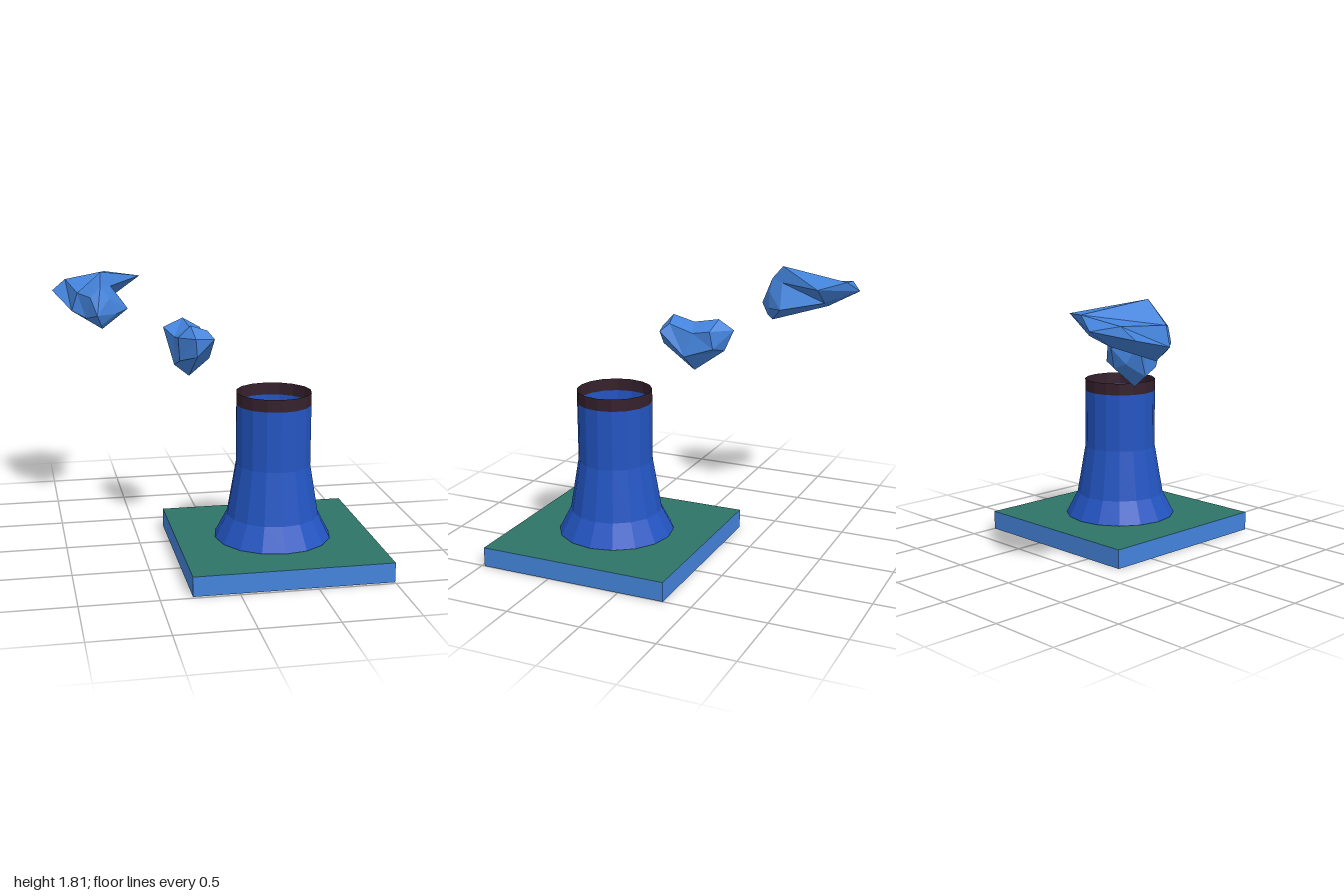
import * as THREE from 'three';

const paint = (color, side = THREE.FrontSide) =>
  new THREE.MeshStandardMaterial({ color, flatShading: true, side });

function add(parent, name, geometry, material, x = 0, y = 0, z = 0) {
  const mesh = new THREE.Mesh(geometry, material);
  mesh.name = name;
  mesh.position.set(x, y, z);
  parent.add(mesh);
  return mesh;
}

// Faceted rock: six-point rings (top, clockwise seen from the front) from back tip to front tip.
function rockGeometry(backTip, rings, frontTip) {
  const n = 6, out = [];
  const tri = (a, b, c) => out.push(...a, ...b, ...c);
  const last = rings[rings.length - 1];
  for (let j = 0; j < n; j++) {
    const k = (j + 1) % n;
    tri(backTip, rings[0][j], rings[0][k]);
    for (let i = 0; i < rings.length - 1; i++) {
      const a = rings[i], b = rings[i + 1];
      tri(a[j], b[j], a[k]);
      tri(a[k], b[j], b[k]);
    }
    tri(last[j], frontTip, last[k]);
  }
  const geometry = new THREE.BufferGeometry();
  geometry.setAttribute('position', new THREE.Float32BufferAttribute(out, 3));
  geometry.computeVertexNormals();
  return geometry;
}

export function createModel() {
  const model = new THREE.Group();
  model.name = 'coolingTower';

  const lightBlue = paint(0x4484dc);
  const green = paint(0x2f7468);
  const blue = paint(0x2355c2, THREE.DoubleSide);
  const dark = paint(0x35202c, THREE.DoubleSide);

  // Square slab with a green upper face
  add(model, 'base', new THREE.BoxGeometry(1.295, 0.13, 1.29),
    [lightBlue, lightBlue, green, lightBlue, lightBlue, lightBlue], 0.3525, 0.065, 0.335);

  // Open, flared tower with a floor and a dark rim
  const tower = new THREE.Group();
  tower.name = 'tower';
  tower.position.set(0.35, 0, 0.335);
  model.add(tower);
  const lathe = (points) =>
    new THREE.LatheGeometry(points.map(([r, y]) => new THREE.Vector2(r, y)), 16);
  add(tower, 'towerWall',
    lathe([[0.387, 0.135], [0.307, 0.29], [0.248, 0.635], [0.248, 1.035]]), blue);
  add(tower, 'towerRim', lathe([[0.248, 1.035], [0.248, 1.117]]), dark);
  add(tower, 'towerFloor', new THREE.CircleGeometry(0.387, 16).rotateX(-Math.PI / 2), blue, 0, 0.135, 0);

  // Small smoke puff, two lobes with a dip between them
  add(model, 'smallPuff', rockGeometry([-0.2, 1.45, -0.285], [
    [[-0.165, 1.525, -0.19], [-0.05, 1.46, -0.17], [-0.06, 1.34, -0.19],
      [-0.17, 1.31, -0.23], [-0.25, 1.34, -0.2], [-0.305, 1.475, -0.14]],
    [[-0.15, 1.495, -0.02], [-0.045, 1.44, -0.05], [-0.015, 1.28, 0],
      [-0.15, 1.16, -0.02], [-0.25, 1.24, -0.02], [-0.25, 1.43, -0.015]],
    [[-0.165, 1.53, 0.14], [-0.05, 1.49, 0.12], [-0.01, 1.44, 0.175],
      [-0.13, 1.33, 0.2], [-0.23, 1.29, 0.1], [-0.245, 1.45, 0.13]],
  ], [-0.14, 1.45, 0.21]), lightBlue);

  // Large smoke puff, broad at the back and narrowing to the front
  add(model, 'largePuff', rockGeometry([-0.75, 1.67, -0.985], [
    [[-0.62, 1.75, -0.93], [-0.38, 1.73, -0.8], [-0.55, 1.61, -0.8],
      [-0.7, 1.56, -0.78], [-1, 1.63, -0.865], [-0.905, 1.705, -0.89]],
    [[-0.69, 1.812, -0.45], [-0.62, 1.71, -0.47], [-0.5, 1.545, -0.5],
      [-0.69, 1.43, -0.38], [-0.89, 1.545, -0.47], [-0.85, 1.67, -0.46]],
    [[-0.7, 1.72, -0.37], [-0.64, 1.64, -0.37], [-0.59, 1.53, -0.39],
      [-0.7, 1.46, -0.34], [-0.8, 1.5, -0.41], [-0.77, 1.65, -0.36]],
  ], [-0.73, 1.535, -0.288]), lightBlue);

  return model;
}
